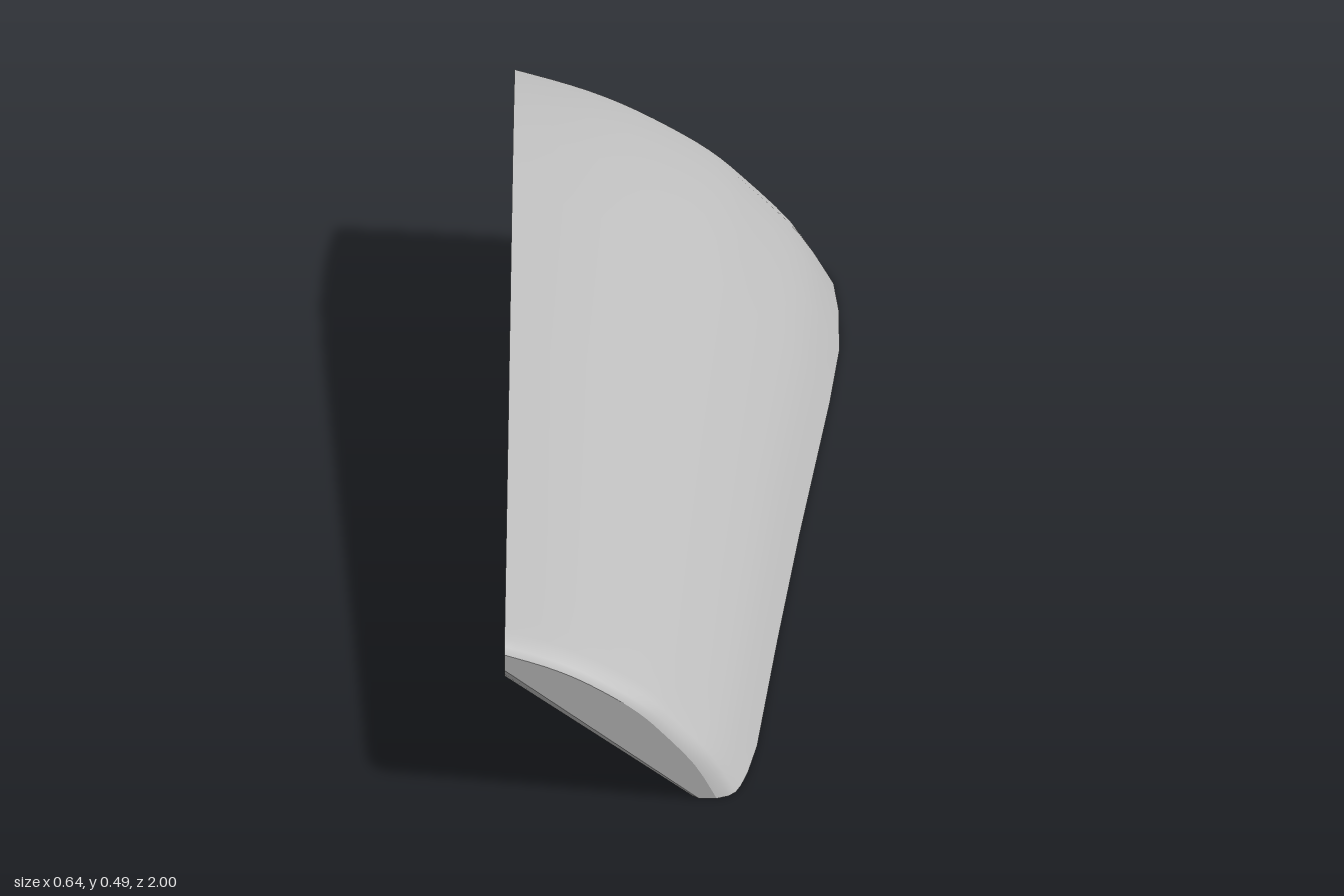
import * as THREE from 'three';

const LEFT = -0.32;

// Stations along z: [z, outer x at the base, top height at the left side, inner x at the base, lower height at the left side]
const stations = [
  [-1.0, 0.285, 0.455, 0.107, 0.315],
  [-0.95, 0.304, 0.468, 0.105, 0.313],
  [-0.85, 0.315, 0.484, 0.101, 0.31],
  [-0.7, 0.318, 0.492, 0.094, 0.304],
  [-0.5, 0.301, 0.481, 0.086, 0.297],
  [0.0, 0.247, 0.437, 0.065, 0.279],
  [0.4, 0.208, 0.401, 0.047, 0.264],
  [0.8, 0.172, 0.366, 0.03, 0.25],
  [0.9, 0.155, 0.358, 0.026, 0.247],
  [0.95, 0.142, 0.353, 0.03, 0.253],
  [0.975, 0.132, 0.348, 0.037, 0.262],
  [0.99, 0.118, 0.338, 0.047, 0.275],
  [1.0, 0.095, 0.325, 0.06, 0.29],
];

// Rounded outer profile, as fractions of width and height
const arc = new THREE.SplineCurve([
  [0, 1], [0.19, 0.92], [0.345, 0.833], [0.5, 0.717], [0.63, 0.6],
  [0.738, 0.467], [0.895, 0.238], [1, 0],
].map(([x, y]) => new THREE.Vector2(x, y))).getPoints(21);

const outerEdge = ([, x, h]) => arc.map((p) => [LEFT + p.x * (x - LEFT), p.y * h]);
const baseEdge = ([, x, , xi]) => [[x, 0], [xi, 0]];
const innerEdge = ([, , , xi, yb]) => [[xi, 0], [LEFT, yb]];
const sideEdge = ([, , h, , yb]) => [[LEFT, yb], [LEFT, h]];

// Joins one edge of every station into a surface
function loft(edge) {
  const pos = [], index = [];
  const rows = stations.map((s) => edge(s).map(([x, y]) => [x, y, s[0]]));
  const n = rows[0].length;
  rows.forEach((row, i) => row.forEach((p, j) => {
    pos.push(...p);
    if (i === rows.length - 1 || j === n - 1) return;
    const a = i * n + j, b = a + 1, c = a + n, d = c + 1;
    index.push(a, c, b, b, c, d);
  }));
  const g = new THREE.BufferGeometry();
  g.setAttribute('position', new THREE.Float32BufferAttribute(pos, 3));
  g.setIndex(index);
  g.computeVertexNormals();
  return g;
}

// Flat end across one station, facing +z or -z
function endCap(s, facing) {
  const outline = [...outerEdge(s), [s[3], 0], [LEFT, s[4]]];
  const g = new THREE.ShapeGeometry(
    new THREE.Shape(outline.map(([x, y]) => new THREE.Vector2(x * facing, y))));
  if (facing < 0) g.rotateY(Math.PI);
  return g.translate(0, 0, s[0]);
}

export function createModel() {
  const group = new THREE.Group();
  group.name = 'taperedShell';
  const grey = new THREE.MeshStandardMaterial({ color: 0xbcbcbc });
  grey.name = 'grey';

  const add = (name, geometry) => {
    const mesh = new THREE.Mesh(geometry, grey);
    mesh.name = name;
    group.add(mesh);
  };

  add('outerSurface', loft(outerEdge));
  add('baseFace', loft(baseEdge));
  add('innerFace', loft(innerEdge));
  add('sideFace', loft(sideEdge));
  add('frontEnd', endCap(stations[stations.length - 1], 1));
  add('backEnd', endCap(stations[0], -1));
  return group;
}
